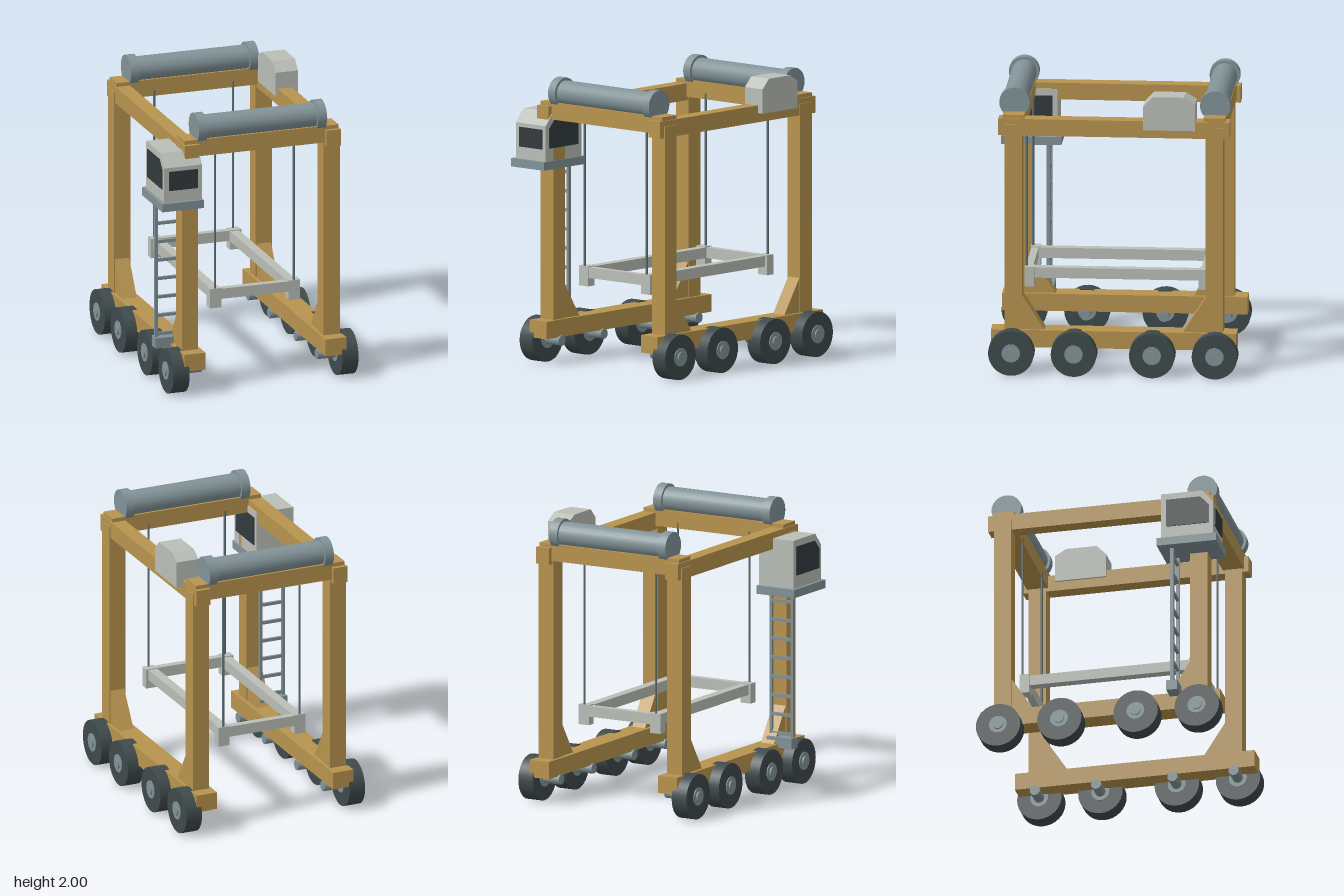
import * as THREE from 'three';

const mat = (color) => new THREE.MeshStandardMaterial({ color });

export function createModel() {
  const model = new THREE.Group();
  const yellow = mat(0xb8944f), steel = mat(0x829398), tyreMat = mat(0x3f4a4c);
  const pale = mat(0xbbbfb8), glass = mat(0x333a3d), rope = mat(0x5f7074);
  const CX = 0.03; // middle of the frame

  const add = (name, geo, material, parent = model) => {
    const mesh = new THREE.Mesh(geo, material);
    mesh.name = name;
    parent.add(mesh);
    return mesh;
  };
  // Box from its minimum and maximum on each axis
  const box = (name, x0, x1, y0, y1, z0, z1, material, parent) => {
    const mesh = add(name, new THREE.BoxGeometry(x1 - x0, y1 - y0, z1 - z0), material, parent);
    mesh.position.set((x0 + x1) / 2, (y0 + y1) / 2, (z0 + z1) / 2);
    return mesh;
  };
  // Side profile of [z, y] points, extruded from x0 to x1
  const profile = (name, points, x0, x1, material, parent) => {
    const shape = new THREE.Shape(points.map(([z, y]) => new THREE.Vector2(z, y)));
    const geo = new THREE.ExtrudeGeometry(shape, { depth: x1 - x0, bevelEnabled: false });
    geo.rotateY(-Math.PI / 2).translate(x1, 0, 0);
    return add(name, geo, material, parent);
  };
  // Cylinder lying along x
  const rod = (name, x0, x1, y, z, r, segments, material, parent) => {
    const geo = new THREE.CylinderGeometry(r, r, x1 - x0, segments).rotateZ(Math.PI / 2);
    const mesh = add(name, geo, material, parent);
    mesh.position.set((x0 + x1) / 2, y, z);
    return mesh;
  };

  for (const s of [-1, 1]) {
    // Limits of a part given by its inner and outer distance from the middle
    const span = (a, b) => (s > 0 ? [CX + a, CX + b] : [CX - b, CX - a]);

    // Side frame
    box('bottomBeam', ...span(0.44, 0.595), 0.185, 0.307, -0.85, 0.85, yellow);
    box('topSideBeam', ...span(0.467, 0.572), 1.685, 1.803, -0.8, 0.8, yellow);
    for (const e of [-1, 1]) {
      box('leg', ...span(0.46, 0.58), 0.3, 1.765, e * 0.696 - 0.061, e * 0.696 + 0.061, yellow);
      profile('gusset', [[e * 0.64, 0.3], [e * 0.475, 0.3], [e * 0.635, 0.55], [e * 0.64, 0.55]],
        ...span(0.468, 0.572), yellow);
    }

    // Wheels
    for (const z of [-0.705, -0.271, 0.271, 0.705]) {
      const wheel = new THREE.Group();
      wheel.name = 'wheel';
      model.add(wheel);
      rod('tyre', ...span(0.56, 0.678), 0.158, z, 0.158, 32, tyreMat, wheel);
      rod('hub', ...span(0.555, 0.684), 0.16, z, 0.064, 24, steel, wheel);
      rod('axle', ...span(0.425, 0.695), 0.16, z, 0.036, 16, steel, wheel);
    }

    // Spreader long bars
    box('spreaderSideBar', ...span(0.247, 0.313), 0.61, 0.684, -0.6, 0.6, pale);
  }

  // Cross beams, winch drums, spreader ends and hoist ropes at both ends
  for (const e of [-1, 1]) {
    const z = e * 0.695;
    box('crossBeam', CX - 0.565, CX + 0.565, 1.71, 1.83, z - 0.075, z + 0.075, yellow);
    rod('winchDrum', CX - 0.45, CX + 0.45, 1.894, z, 0.087, 24, steel);
    for (const x of [CX - 0.47, CX + 0.405])
      rod('drumFlange', x, x + 0.065, 1.894, z, 0.106, 24, steel);
    box('spreaderEndBar', CX - 0.29, CX + 0.29, 0.61, 0.684, e * 0.607 - 0.025, e * 0.607 + 0.025, pale);
    for (const s of [-1, 1]) {
      const x = CX + s * 0.289;
      box('spreaderCorner', x - 0.042, x + 0.042, 0.55, 0.69, e * 0.602 - 0.033, e * 0.602 + 0.033, pale);
      const line = add('hoistRope', new THREE.CylinderGeometry(0.008, 0.008, 1.07, 8), rope);
      line.position.set(x, 1.215, e * 0.623);
    }
  }

  // Engine housing on the left top beam
  profile('engineHousing', [[-0.207, 1.75], [-0.207, 1.92], [-0.272, 1.987],
    [-0.49, 1.987], [-0.567, 1.94], [-0.567, 1.75]], 0.482, 0.647, pale);

  // Driver's cabin
  const cabin = new THREE.Group();
  cabin.name = 'cabin';
  model.add(cabin);
  box('cabinPlatform', -0.73, -0.425, 1.362, 1.42, 0.44, 0.86, steel, cabin);
  profile('cabinShell', [[0.466, 1.42], [0.835, 1.42], [0.835, 1.67], [0.757, 1.76], [0.466, 1.76]],
    -0.708, -0.43, pale, cabin);
  box('frontWindow', -0.673, -0.462, 1.505, 1.642, 0.83, 0.843, glass, cabin);
  for (const x of [-0.714, -0.436])
    profile('sideWindow', [[0.503, 1.51], [0.802, 1.51], [0.802, 1.65], [0.745, 1.713], [0.503, 1.713]],
      x, x + 0.012, glass, cabin);

  // Ladder
  const ladder = new THREE.Group();
  ladder.name = 'ladder';
  model.add(ladder);
  for (const x of [-0.67, -0.5])
    box('ladderRail', x, x + 0.02, 0.33, 1.37, 0.522, 0.546, steel, ladder);
  for (let i = 0; i < 8; i++) {
    const y = 0.376 + i * 0.1335;
    box('rung', -0.66, -0.49, y - 0.011, y + 0.011, 0.525, 0.543, steel, ladder);
  }
  box('ladderFoot', -0.677, -0.473, 0.282, 0.355, 0.495, 0.573, steel, ladder);

  return model;
}
